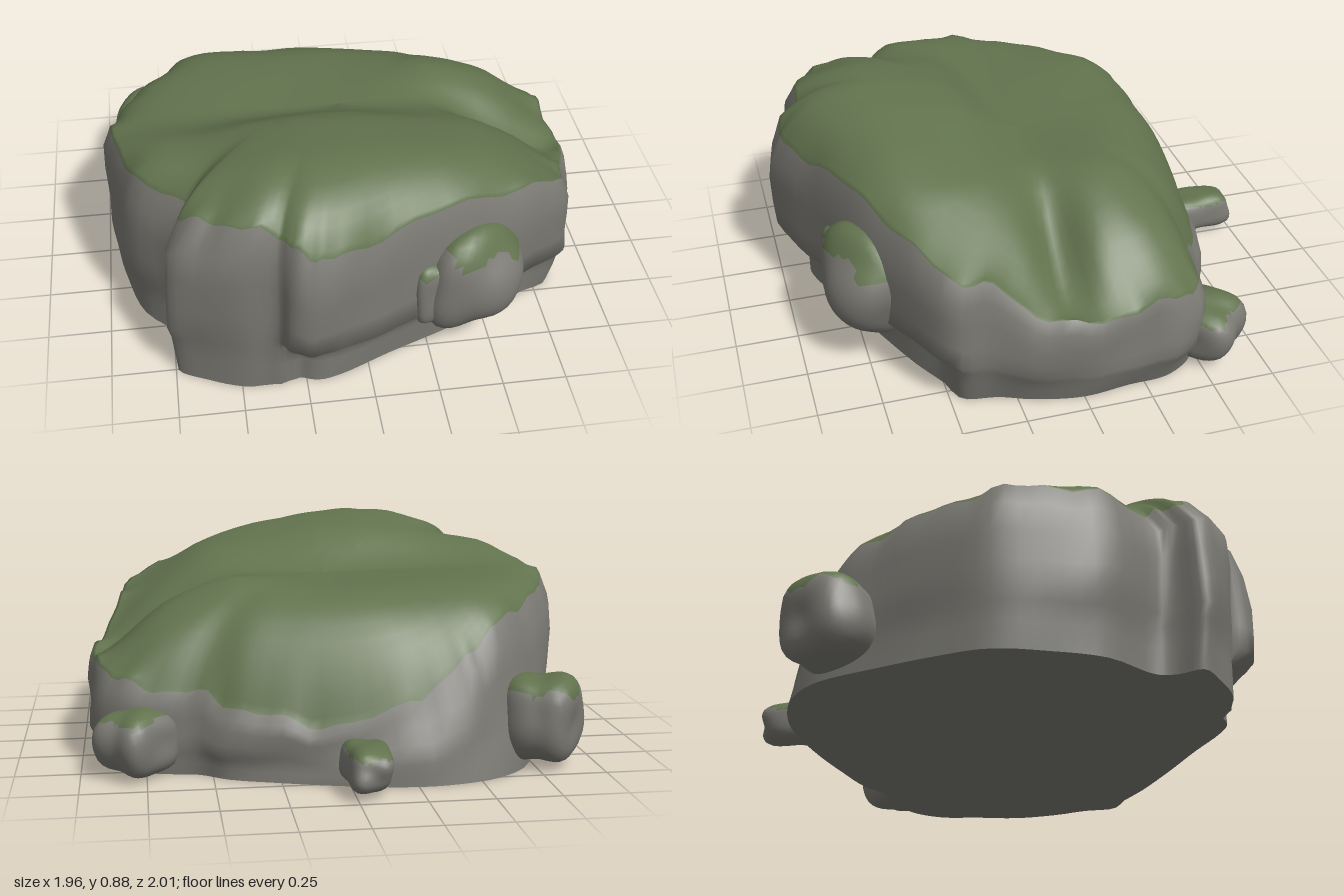
import * as THREE from 'three';
import { mergeVertices } from 'three/addons/utils/BufferGeometryUtils.js';

const stone = new THREE.MeshStandardMaterial({ color: 0x7a7973 });
stone.name = 'stone grey';
const moss = new THREE.MeshStandardMaterial({ color: 0x62734e });
moss.name = 'moss green';

// Widest outline of the boulder with the height of the moss line: [x, mossY, z]
const outline = [
  [-.25, .3, -.815], [.05, .22, -.775], [.25, .24, -.725], [.45, .28, -.66], [.57, .32, -.58],
  [.75, .33, -.55], [.88, .36, -.48], [.95, .4, -.36], [.96, .38, -.2], [.98, .37, 0],
  [.94, .42, .2], [.88, .53, .35], [.86, .57, .5], [.7, .64, .62], [.4, .7, .76],
  [.1, .69, .88], [-.13, .67, .98], [-.23, .69, 1], [-.31, .72, .97], [-.36, .74, .91],
  [-.5, .77, .9], [-.65, .75, .84], [-.76, .72, .77], [-.72, .7, .68], [-.72, .69, .6],
  [-.88, .68, .42], [-.95, .68, .2], [-.98, .65, 0], [-.92, .62, -.2], [-.82, .6, -.42],
  [-.7, .57, -.64], [-.58, .5, -.74], [-.45, .4, -.79],
];

const { smoothstep, lerp } = THREE.MathUtils;

// Piecewise linear lookup through [x, y] pairs
function along(pairs, x) {
  if (x <= pairs[0][0]) return pairs[0][1];
  for (let i = 1; i < pairs.length; i++) {
    const [x0, y0] = pairs[i - 1], [x1, y1] = pairs[i];
    if (x <= x1) return lerp(y0, y1, (x - x0) / (x1 - x0));
  }
  return pairs[pairs.length - 1][1];
}

const bump = (x, centre, width) => Math.exp(-(((x - centre) / width) ** 2));
const frontRidge = [[-.95, .81], [-.6, .82], [-.4, .87], [-.2, .885], [0, .875], [.3, .825], [.5, .785], [.8, .64], [.95, .52]];
const backShelf = [[-.95, .7], [-.6, .69], [0, .68], [.4, .68], [.7, .62], [.95, .46]];

// Height of the mossy top: high front ridge, lower rear shelf, gully on the left side
function topHeight(x, z) {
  const front = along(frontRidge, x) - .16 * Math.max(0, .6 - z);
  const h = lerp(along(backShelf, x), front, smoothstep(z, 0, .3));
  const gully = .16 * bump(z, .03, .09) * smoothstep(x, .3, .75);
  const knoll = .025 * bump(z, -.2, .13) * bump(x, .5, .25);
  return h - gully + knoll + .005 * Math.sin(9 * x + 2) * Math.sin(8 * z);
}

function makeBoulder() {
  const segs = 132;
  const curve = new THREE.CatmullRomCurve3(outline.map(p => new THREE.Vector3(...p)), true, 'centripetal');
  const rim = Array.from({ length: segs }, (_, i) => curve.getPoint(i / segs));
  const wallRows = [0, .15, .28, .36, .5, .7, .86, 1];
  const topRows = [.985, .96, .93, .89, .84, .78, .71, .63, .55, .47, .38, .28, .18, .09, 0];
  const pos = [];
  const angle = p => Math.atan2(p.z, p.x);
  // The moss line draws inward at the rear right and front right corners
  const rimScale = p => {
    const a = angle(p);
    return .955 - .08 * bump(a, -2.25, .48) - .05 * bump(a, 2.3, .2) + .025 * bump(a, -.15, .4);
  };
  const ragged = i => .012 * Math.sin(i * .9) + .01 * Math.sin(i * 1.7 + 1);

  // Wall: undercut below the block on the front, leaning inward at the rear
  for (const f of wallRows) {
    rim.forEach((p, i) => {
      const under = smoothstep(p.z, .35, .55) * smoothstep(p.x, -.37, -.3) * (1 - smoothstep(p.x, .78, .92));
      const lean = bump(angle(p), -2, .65);
      const foot = lerp(lerp(lerp(.975, .945, smoothstep(p.x, .6, .95)), .88, under), 1.02, lean);
      const upright = along([[0, foot], [.28, lerp(.985, .89, under)], [.36, 1], [.7, 1], [.86, .99], [1, rimScale(p)]], f);
      let k = lerp(upright, lerp(foot, rimScale(p), f ** 1.4), lean);
      k += .012 * Math.sin(i * .43 + f * 5) * Math.sin(f * Math.PI);
      pos.push(p.x * k, (p.y + ragged(i)) * f, p.z * k);
    });
  }
  // Top, rolling over from the moss line, more sharply at the front and right
  for (const t of topRows) {
    rim.forEach((p, i) => {
      const k = t * rimScale(p), x = p.x * k, z = p.z * k;
      const roll = 5.5 + 2.5 * smoothstep(p.z - p.x, -.5, .3) + 5 * smoothstep(-p.x, .6, .9);
      pos.push(x, lerp(topHeight(x, z), p.y, t ** roll) + ragged(i) * t ** 20, z);
    });
  }

  const rows = wallRows.length + topRows.length, index = [];
  for (let j = 0; j < rows - 1; j++) {
    for (let i = 0; i < segs; i++) {
      const n = (i + 1) % segs;
      const a = j * segs + i, b = j * segs + n, c = a + segs, d = b + segs;
      index.push(a, c, b, b, c, d);
    }
  }
  const geo = new THREE.BufferGeometry();
  geo.setAttribute('position', new THREE.Float32BufferAttribute(pos, 3));
  geo.setIndex(index);
  geo.computeVertexNormals();
  const wallCount = (wallRows.length - 1) * segs * 6;
  geo.addGroup(0, wallCount, 0);
  geo.addGroup(wallCount, index.length - wallCount, 1);
  const boulder = new THREE.Mesh(geo, [stone, moss]);
  boulder.name = 'boulder';

  // Flat underside
  const foot = new THREE.Shape(rim.map((_, i) => new THREE.Vector2(pos[i * 3], pos[i * 3 + 2])));
  const underside = new THREE.Mesh(new THREE.ShapeGeometry(foot).rotateX(Math.PI / 2), stone);
  underside.name = 'underside';
  return [boulder, underside];
}

// Little rock with a moss cap above the given level (-1 to 1); a higher power is blockier
function makeRock({ name, at, size, turn, seed, level, power = 3.5 }) {
  let geo = new THREE.IcosahedronGeometry(1, 7);
  geo.deleteAttribute('uv');
  geo.deleteAttribute('normal');
  geo = mergeVertices(geo, 1e-4);
  const p = geo.attributes.position, v = new THREE.Vector3();
  for (let i = 0; i < p.count; i++) {
    v.fromBufferAttribute(p, i);
    const block = (Math.abs(v.x) ** power + Math.abs(v.y) ** power + Math.abs(v.z) ** power) ** (-1 / power);
    const lump = 1 + .06 * Math.sin(3 * v.x + seed) * Math.sin(4 * v.y + 2 * seed) + .05 * Math.sin(5 * v.z + 3 * v.x + seed);
    v.multiplyScalar(block * lump);
    p.setXYZ(i, v.x, v.y, v.z);
  }
  const bare = [], mossy = [], ids = geo.index.array;
  for (let i = 0; i < ids.length; i += 3) {
    const tri = [ids[i], ids[i + 1], ids[i + 2]];
    const mean = get => (get(tri[0]) + get(tri[1]) + get(tri[2])) / 3;
    const x = mean(k => p.getX(k)), y = mean(k => p.getY(k)), z = mean(k => p.getZ(k));
    (y > level + .1 * Math.sin(5 * x + seed) + .08 * Math.sin(6 * z) ? mossy : bare).push(...tri);
  }
  geo.setIndex([...bare, ...mossy]);
  geo.addGroup(0, bare.length, 0);
  geo.addGroup(bare.length, mossy.length, 1);
  geo.scale(...size);
  geo.rotateZ(turn[1]);
  geo.rotateY(turn[0]);
  geo.computeVertexNormals();
  const rock = new THREE.Mesh(geo, [stone, moss]);
  rock.name = name;
  rock.position.set(...at);
  return rock;
}

export function createModel() {
  const group = new THREE.Group();
  group.name = 'mossyBoulder';
  group.add(...makeBoulder());
  const rocks = [
    { name: 'frontRock', at: [.405, .35, .73], size: [.22, .235, .165], turn: [.3, -.25], seed: 1, level: .62, power: 2.1 },
    { name: 'frontRockChip', at: [.25, .345, .79], size: [.085, .13, .07], turn: [.3, 0], seed: 2, level: .85, power: 5 },
    { name: 'leftRearRock', at: [.78, .135, -.54], size: [.14, .12, .13], turn: [.8, 0], seed: 2.2, level: .72 },
    { name: 'rearRock', at: [-.05, .1, -.84], size: [.085, .08, .155], turn: [.05, 0], seed: 3.1, level: .55 },
    { name: 'rightRearRock', at: [-.785, .195, -.6], size: [.165, .16, .14], turn: [.85, 0], seed: 4.3, level: .65 },
  ];
  rocks.forEach(r => group.add(makeRock(r)));
  return group;
}
